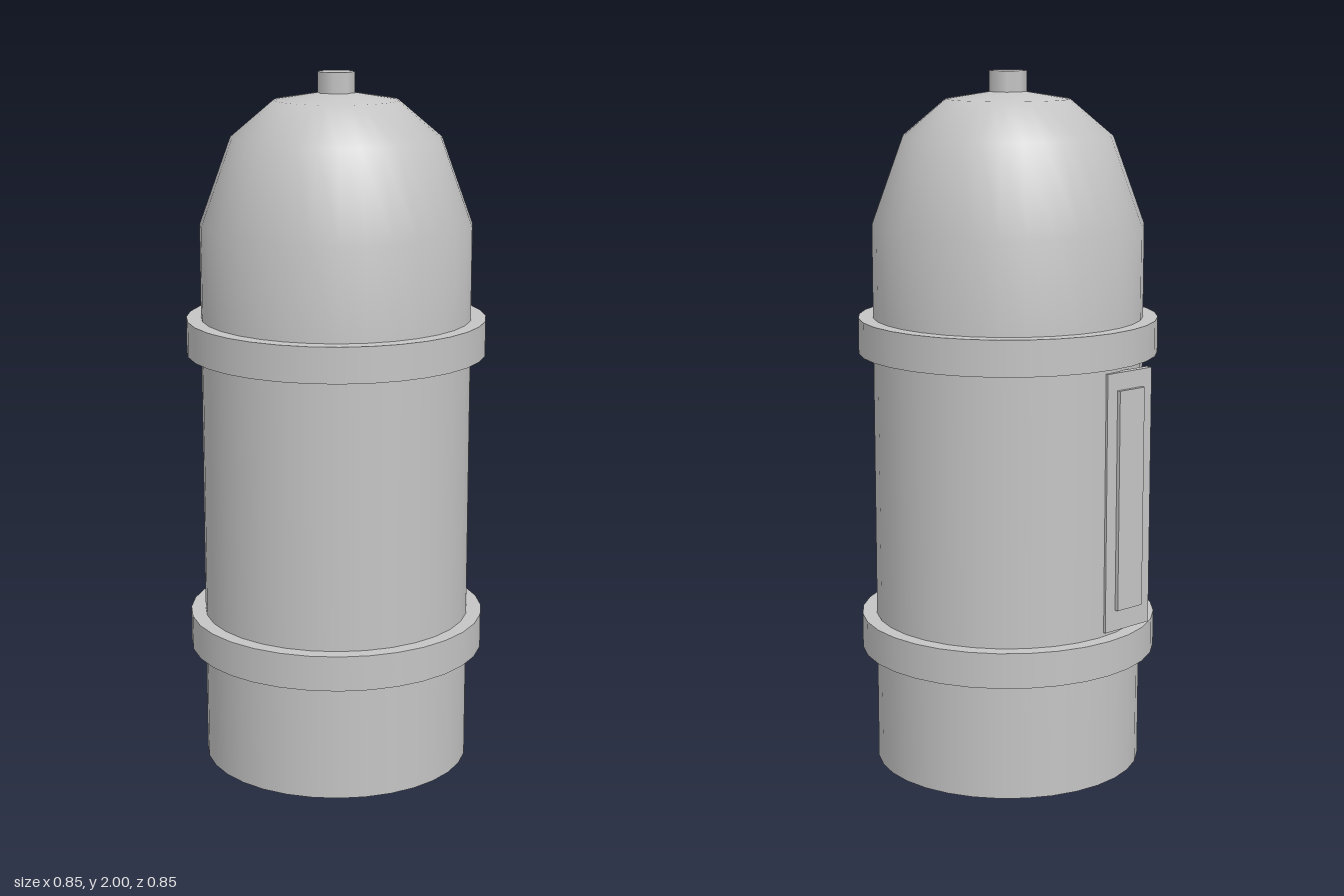
import * as THREE from 'three';

const SIDES = 32;
const RADIUS = 0.385;

export function createModel() {
  const model = new THREE.Group();
  const grey = new THREE.MeshStandardMaterial({ color: 0xc4c4c4 });
  grey.name = 'grey metal';

  const add = (name, geometry, x = 0, y = 0, z = 0) => {
    const mesh = new THREE.Mesh(geometry, grey);
    mesh.name = name;
    mesh.position.set(x, y, z);
    model.add(mesh);
    return mesh;
  };

  // Cylindrical shell running smoothly into a domed shoulder
  const profile = [
    [RADIUS, 0], [RADIUS, 1.26], [RADIUS, 1.575],
    [0.296, 1.82], [0.175, 1.922], [0, 1.95],
  ].map(([r, y]) => new THREE.Vector2(r, y));
  add('body', new THREE.LatheGeometry(profile, SIDES));

  // Flat underside
  const base = new THREE.CircleGeometry(RADIUS, SIDES);
  base.rotateX(Math.PI / 2);
  add('base', base);

  // Two raised hoops
  for (const [name, y] of [['lowerBand', 0.389], ['upperBand', 1.26]]) {
    add(name, new THREE.CylinderGeometry(0.427, 0.427, 0.101, SIDES), 0, y, 0);
  }

  // Small octagonal valve on top
  add('valve', new THREE.CylinderGeometry(0.053, 0.053, 0.08, 8), 0, 1.96, 0);

  // Gauge on the back, offset to one side: mounting plate and raised panel
  add('gaugePlate', new THREE.BoxGeometry(0.17, 0.74, 0.02), -0.105, 0.82, -0.38);
  add('gaugePanel', new THREE.BoxGeometry(0.095, 0.63, 0.014), -0.105, 0.825, -0.394);

  return model;
}
